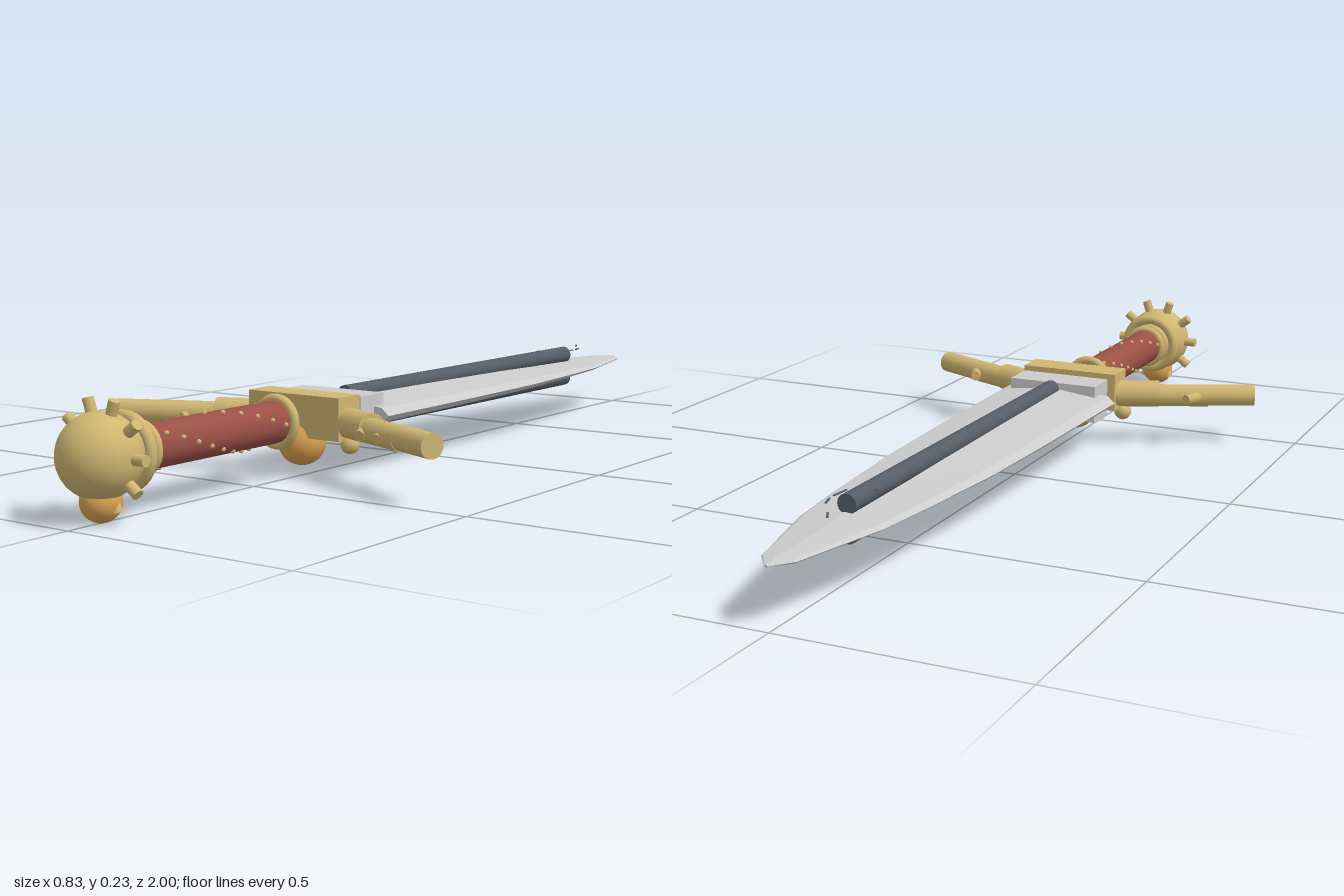
import * as THREE from 'three';

const Y = 0.125; // height of the sword's axis
const mat = (color, extra = {}) => Object.assign(new THREE.MeshStandardMaterial(), extra, { color: new THREE.Color(color) });
const brass = mat(0xd0b672);
const amber = mat(0xd9a050);
const leather = mat(0x9a5046);
const steel = mat(0xcccccc, { flatShading: true });
const darkSteel = mat(0x565d66);

function add(parent, name, geometry, material, x = 0, y = 0, z = 0) {
  const mesh = new THREE.Mesh(geometry, material);
  mesh.name = name;
  mesh.position.set(x, y, z);
  parent.add(mesh);
  return mesh;
}

// Cylinder running between two points
function rod(parent, name, a, b, r0, r1, material, sides = 20) {
  const from = new THREE.Vector3(...a), to = new THREE.Vector3(...b);
  const dir = to.clone().sub(from);
  const mesh = add(parent, name, new THREE.CylinderGeometry(r1, r0, dir.length(), sides), material);
  mesh.position.copy(from).addScaledVector(dir, 0.5);
  mesh.quaternion.setFromUnitVectors(new THREE.Vector3(0, 1, 0), dir.normalize());
  return mesh;
}

// Bevelled blade lofted through [z, half width, half thickness] stations
function bladeGeometry() {
  const stations = [[0.24, 0.142, 0.03], [-0.1, 0.136, 0.027], [-0.37, 0.127, 0.023],
    [-0.6, 0.106, 0.017], [-0.75, 0.088, 0.013], [-0.96, 0.036, 0.007], [-1, 0.003, 0.003]];
  const section = [[1, 0], [0.88, 0.5], [0, 1], [-0.88, 0.5], [-1, 0], [-0.88, -0.5], [0, -1], [0.88, -0.5]];
  const n = section.length, pos = [], index = [];
  for (const [z, w, t] of stations) for (const [sx, sy] of section) pos.push(sx * w, sy * t, z);
  for (let i = 0; i < stations.length - 1; i++) {
    for (let j = 0; j < n; j++) {
      const a = i * n + j, b = i * n + (j + 1) % n;
      index.push(a, a + n, b, b, a + n, b + n);
    }
  }
  const last = (stations.length - 1) * n;
  for (let j = 1; j < n - 1; j++) {
    index.push(0, j, j + 1);
    index.push(last, last + j + 1, last + j);
  }
  const g = new THREE.BufferGeometry();
  g.setAttribute('position', new THREE.Float32BufferAttribute(pos, 3));
  g.setIndex(index);
  const flat = g.toNonIndexed();
  flat.computeVertexNormals();
  return flat;
}

function buildBlade() {
  const blade = new THREE.Group();
  blade.name = 'bladeAssembly';
  add(blade, 'blade', bladeGeometry(), steel);
  add(blade, 'bladeCollar', new THREE.BoxGeometry(0.21, 0.085, 0.08), steel, 0, 0, 0.246);
  for (const s of [1, -1]) {
    rod(blade, 'bladeRib', [0, s * 0.029, 0.2], [0, s * 0.029, -0.73], 0.02, 0.02, darkSteel);
  }
  // Fine nicks near the tip
  for (const [x, z, len, turn] of [[-0.02, -0.83, 0.025, 0.5], [0.022, -0.76, 0.03, 0.3], [0.025, -0.71, 0.04, -0.1], [-0.03, -0.66, 0.02, -0.3]]) {
    add(blade, 'nick', new THREE.BoxGeometry(0.004, 0.002, len), darkSteel, x, 0.042, z).rotation.y = turn;
  }
  return blade;
}

function buildGuard() {
  const guard = new THREE.Group();
  guard.name = 'guard';
  add(guard, 'guardBlock', new THREE.BoxGeometry(0.232, 0.088, 0.07), brass, 0, 0.006, 0.34);
  add(guard, 'guardGem', new THREE.SphereGeometry(0.05, 28, 18), amber, 0, -0.05, 0.346);
  for (const s of [1, -1]) {
    // Three overlapping segments sweeping towards the grip
    rod(guard, 'armInner', [s * 0.09, -0.003, 0.333], [s * 0.2, -0.003, 0.377], 0.031, 0.031, brass);
    rod(guard, 'armMiddle', [s * 0.19, -0.007, 0.375], [s * 0.305, -0.007, 0.424], 0.026, 0.026, brass);
    rod(guard, 'armOuter', [s * 0.295, -0.006, 0.42], [s * 0.404, -0.006, 0.468], 0.025, 0.025, brass);
    // Thorns pointing to the blade, and short ones to the grip
    rod(guard, 'thorn', [s * 0.3, -0.006, 0.425], [s * 0.273, -0.006, 0.36], 0.013, 0.012, brass, 8);
    rod(guard, 'thorn', [s * 0.197, -0.006, 0.39], [s * 0.171, -0.006, 0.345], 0.013, 0.01, brass, 8);
    rod(guard, 'thorn', [s * 0.245, -0.006, 0.4], [s * 0.25, -0.012, 0.432], 0.014, 0.01, brass, 8);
    rod(guard, 'thorn', [s * 0.19, -0.006, 0.38], [s * 0.195, -0.014, 0.412], 0.016, 0.012, brass, 8);
    add(guard, 'guardBead', new THREE.SphereGeometry(0.02, 14, 10), brass, s * 0.122, -0.046, 0.345);
  }
  return guard;
}

function buildGrip() {
  const grip = new THREE.Group();
  grip.name = 'gripAssembly';
  rod(grip, 'grip', [0, 0, 0.425], [0, 0, 0.82], 0.043, 0.043, leather, 28);
  add(grip, 'gripRing', new THREE.TorusGeometry(0.047, 0.01, 12, 32), brass, 0, 0, 0.428);
  add(grip, 'gripRing', new THREE.TorusGeometry(0.045, 0.009, 12, 32), brass, 0, 0, 0.817);
  // Spiral of small rivets
  for (let i = 0; i < 28; i++) {
    const a = i * 2.2;
    add(grip, 'rivet', new THREE.SphereGeometry(0.005, 8, 6), brass,
      0.043 * Math.cos(a), 0.043 * Math.sin(a), 0.45 + i * 0.0128);
  }
  return grip;
}

function buildPommel() {
  const pommel = new THREE.Group();
  pommel.name = 'pommelAssembly';
  const z = 0.918;
  add(pommel, 'pommel', new THREE.SphereGeometry(0.08, 36, 24), brass, 0, 0, z);
  add(pommel, 'pommelRing', new THREE.TorusGeometry(0.064, 0.012, 12, 36), brass, 0, 0, 0.856);
  add(pommel, 'pommelInnerRing', new THREE.TorusGeometry(0.044, 0.009, 12, 36), brass, 0, 0, 0.846);
  add(pommel, 'pommelGem', new THREE.SphereGeometry(0.039, 24, 16), amber, 0, -0.082, z);
  // Ring of ten studs
  for (let i = 0; i < 10; i++) {
    const a = i * Math.PI / 5, c = Math.cos(a), s = Math.sin(a);
    rod(pommel, 'stud', [c * 0.06, s * 0.06, 0.912], [c * 0.106, s * 0.106, 0.912], 0.011, 0.011, brass, 12);
  }
  return pommel;
}

export function createModel() {
  const sword = new THREE.Group();
  sword.name = 'sword';
  sword.add(buildBlade(), buildGuard(), buildGrip(), buildPommel());
  for (const part of sword.children) part.position.y = Y;
  return sword;
}
